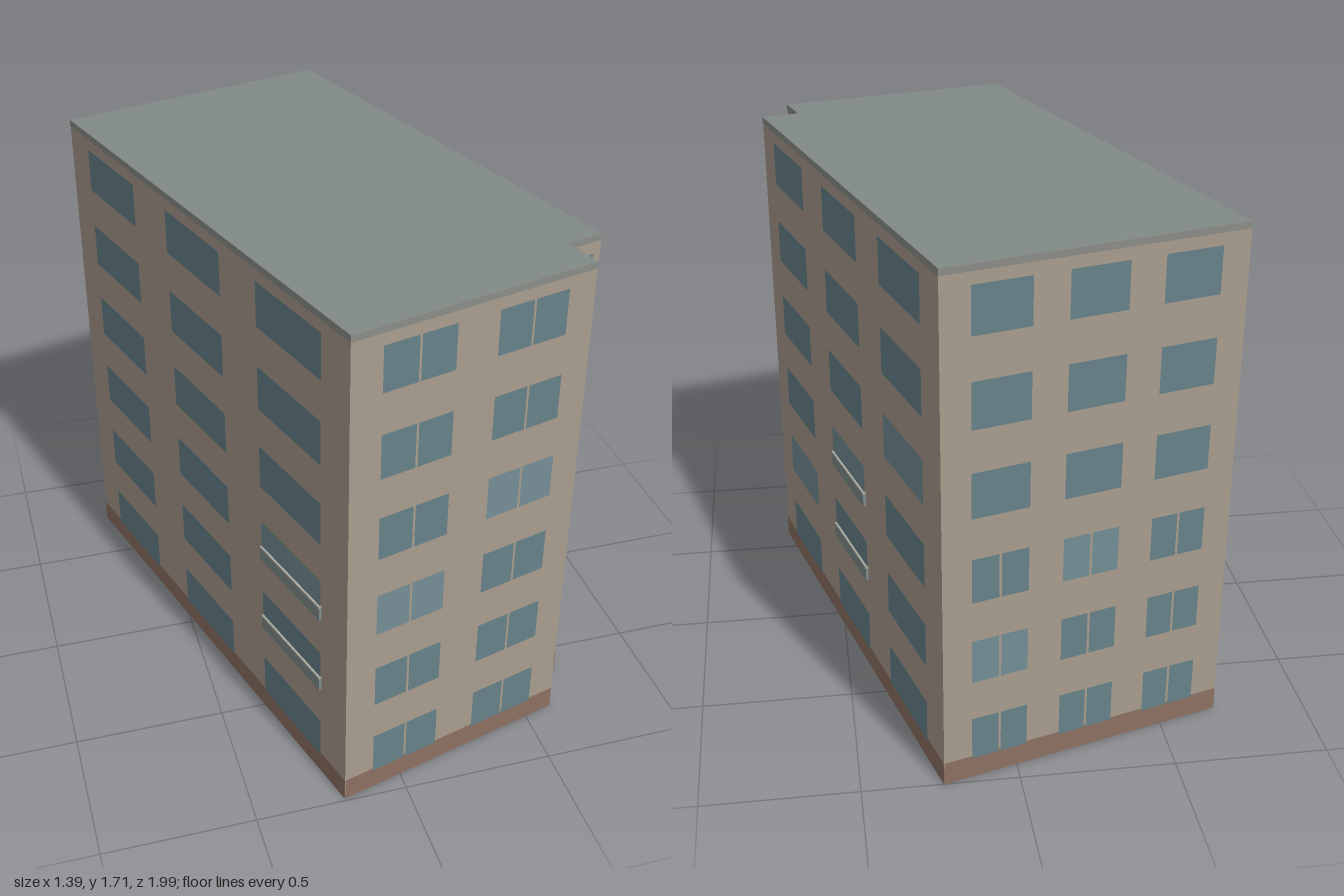
import * as THREE from 'three';

const H = 1.713, BASE = 0.08, TRIM = 0.022;
const FLOORS = 6, SILL = 0.073, PITCH = 0.286, WIN_H = 0.15;

const mat = (color, side = THREE.FrontSide) =>
  new THREE.MeshStandardMaterial({ color, side });

// Footprint corners (x, z), counter-clockwise seen from above
const PLAN = [
  [-0.205, 0.99], [0.6, 0.775], [0.565, 0.642],
  [0.69, 0.607], [0.24, -1], [-0.697, -0.735],
];

// Window columns as fractions along each wall, left to right from outside.
// split: floors whose panes are divided; light: "floor,column" with paler glass
const ALL = [0, 1, 2, 3, 4, 5];
const THREE_COLS = [[0.08, 0.275], [0.402, 0.598], [0.72, 0.92]];
const WALLS = [
  { name: 'frontWall', cols: [[0.124, 0.416], [0.59, 0.882]], split: ALL, light: ['2,0', '3,1'] },
  { name: 'notchSideWall', cols: [[0.22, 0.75]], split: ALL, light: ['2,0', '3,0'] },
  { name: 'notchFrontWall', cols: [[0.26, 0.79]], split: ALL, light: [] },
  { name: 'rightWall', cols: THREE_COLS, split: [], light: ['1,0', '3,2', '2,1'], balconies: [[1, 1], [2, 1]] },
  { name: 'backWall', cols: [[0.096, 0.287], [0.404, 0.596], [0.713, 0.904]], split: [0, 1, 2], light: ['1,0', '2,1'] },
  { name: 'leftWall', cols: THREE_COLS, split: [], light: ['2,2'], balconies: [[1, 2], [2, 2]] },
];

export function createModel() {
  const model = new THREE.Group();
  model.name = 'apartmentBlock';

  const wallMat = mat(0xa99c8e, THREE.DoubleSide);
  const roofMat = mat(0x808a86, THREE.DoubleSide);
  const baseMat = mat(0x8d7062);
  const trimMat = mat(0x8b8d88);
  const glassMat = mat(0x67828a);
  const paleGlassMat = mat(0x748e96);
  const panelMat = mat(0x7f8d8c);
  const railMat = mat(0xa9aba0);

  // Flat rectangle in a wall's own plane, x0..x1 by y0..y1, standing out by z
  const rect = (parent, name, x0, x1, y0, y1, z, material) => {
    const m = new THREE.Mesh(new THREE.PlaneGeometry(x1 - x0, y1 - y0), material);
    m.position.set((x0 + x1) / 2, (y0 + y1) / 2, z);
    m.name = name;
    parent.add(m);
  };

  const box = (parent, name, x0, x1, y0, y1, depth, material) => {
    const m = new THREE.Mesh(new THREE.BoxGeometry(x1 - x0, y1 - y0, depth), material);
    m.position.set((x0 + x1) / 2, (y0 + y1) / 2, depth / 2);
    m.name = name;
    parent.add(m);
  };

  WALLS.forEach((spec, i) => {
    const [ax, az] = PLAN[i];
    const [bx, bz] = PLAN[(i + 1) % PLAN.length];
    const len = Math.hypot(bx - ax, bz - az);
    const wall = new THREE.Group();
    wall.name = spec.name;
    wall.position.set(ax, 0, az);
    wall.rotation.y = Math.atan2(az - bz, bx - ax);
    model.add(wall);

    rect(wall, 'facade', 0, len, 0, H, 0, wallMat);
    rect(wall, 'plinth', 0, len, 0, BASE, 0.0015, baseMat);
    rect(wall, 'roofTrim', 0, len, H - TRIM, H, 0.0015, trimMat);

    // Windows, floor by floor
    for (let f = 0; f < FLOORS; f++) {
      const y = SILL + f * PITCH;
      spec.cols.forEach(([t0, t1], c) => {
        const x0 = t0 * len, x1 = t1 * len, mid = (x0 + x1) / 2;
        const gap = Math.min(0.004, (x1 - x0) * 0.05);
        const glass = spec.light.includes(`${f},${c}`) ? paleGlassMat : glassMat;
        if (spec.split.includes(f)) {
          rect(wall, 'windowPane', x0, mid - gap, y, y + WIN_H, 0.003, glass);
          rect(wall, 'windowPane', mid + gap, x1, y, y + WIN_H, 0.003, glass);
        } else {
          rect(wall, 'window', x0, x1, y, y + WIN_H, 0.003, glass);
        }
      });
    }

    // Shallow balcony parapets across the lower part of some windows
    for (const [f, c] of spec.balconies ?? []) {
      const [x0, x1] = spec.cols[c].map((t) => t * len);
      const y = SILL + f * PITCH;
      box(wall, 'balconyPanel', x0, x1, y, y + 0.045, 0.009, panelMat);
      box(wall, 'balconyRail', x0, x1, y + 0.045, y + 0.052, 0.01, railMat);
    }
  });

  // Flat roof following the footprint
  const outline = new THREE.Shape(PLAN.map(([x, z]) => new THREE.Vector2(x, -z)));
  const roof = new THREE.Mesh(new THREE.ShapeGeometry(outline).rotateX(-Math.PI / 2), roofMat);
  roof.position.y = H;
  roof.name = 'roof';
  model.add(roof);

  return model;
}
